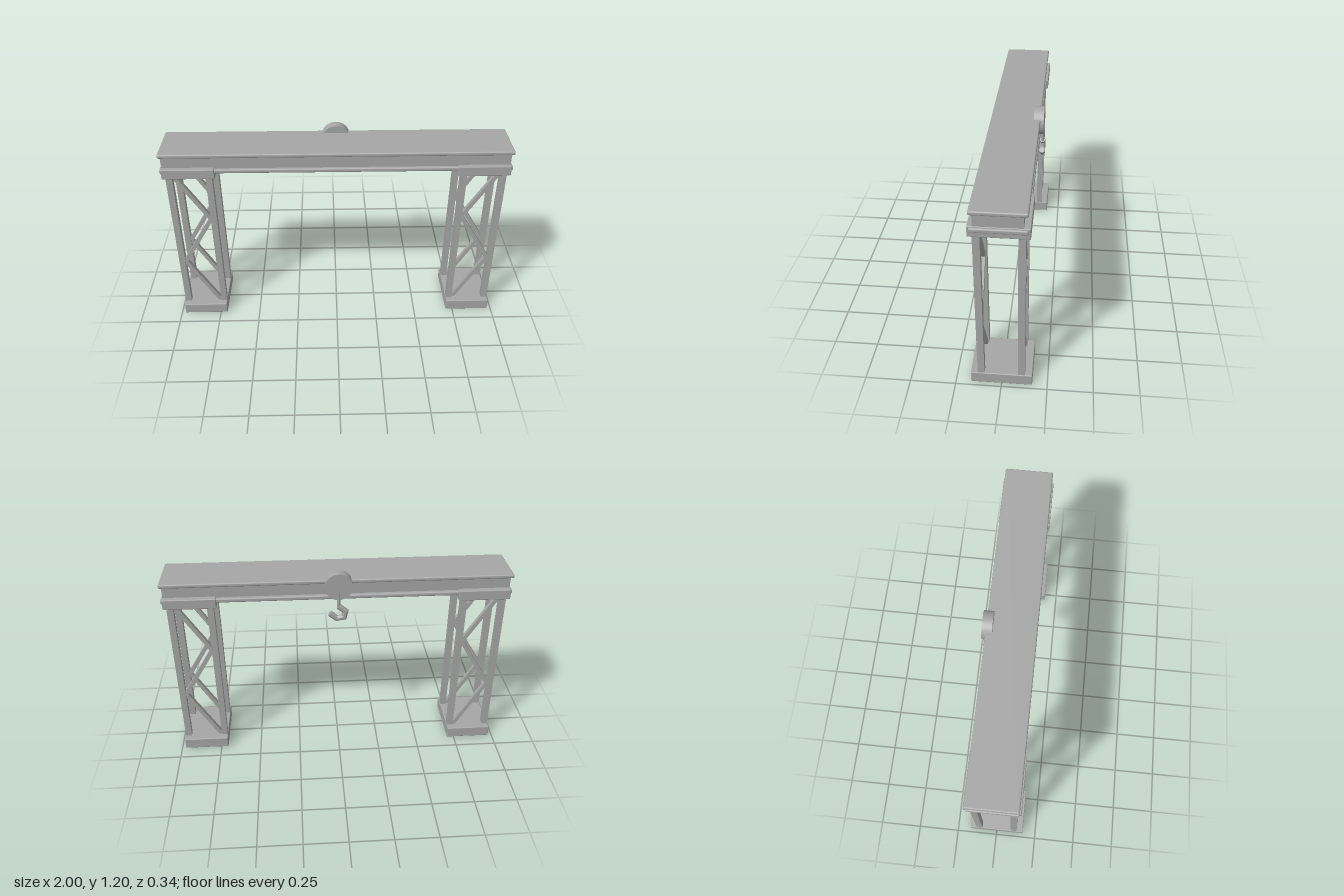
import * as THREE from 'three';
import { RoundedBoxGeometry } from 'three/addons/geometries/RoundedBoxGeometry.js';

const steel = new THREE.MeshStandardMaterial({ color: 0xa6a6a6 });
steel.name = 'steel grey';

function add(parent, name, geometry, x = 0, y = 0, z = 0) {
  const mesh = new THREE.Mesh(geometry, steel);
  mesh.name = name;
  mesh.position.set(x, y, z);
  parent.add(mesh);
  return mesh;
}

// Box with slightly eased edges
const block = (w, h, d, r = 0.005) => new RoundedBoxGeometry(w, h, d, 2, r);

// Flat strut between two points in a plane of constant z
function strut(parent, name, a, b, z, width, depth) {
  const dx = b[0] - a[0], dy = b[1] - a[1];
  const mesh = add(parent, name, new THREE.BoxGeometry(width, Math.hypot(dx, dy), depth),
    (a[0] + b[0]) / 2, (a[1] + b[1]) / 2, z);
  mesh.rotation.z = -Math.atan2(dx, dy);
}

// Mitred faceted bar swept along points in the xy plane
function sweep(points, radius, sides = 8) {
  const pts = points.map(p => new THREE.Vector2(...p));
  const rings = pts.map((p, i) => {
    const before = pts[Math.max(i - 1, 0)], after = pts[Math.min(i + 1, pts.length - 1)];
    const u = (i ? p.clone().sub(before) : after.clone().sub(p)).normalize();
    const v = (i < pts.length - 1 ? after.clone().sub(p) : u.clone()).normalize();
    const t = u.clone().add(v).normalize();
    const k = radius / t.dot(u);
    return Array.from({ length: sides }, (_, j) => {
      const a = (j + 0.5) / sides * Math.PI * 2;
      return [p.x - t.y * k * Math.cos(a), p.y + t.x * k * Math.cos(a), radius * Math.sin(a)];
    });
  });
  const pos = [];
  const tri = (a, b, c) => pos.push(...a, ...b, ...c);
  for (let i = 0; i < rings.length - 1; i++) {
    for (let j = 0; j < sides; j++) {
      const n = (j + 1) % sides, a = rings[i], b = rings[i + 1];
      tri(a[j], a[n], b[n]);
      tri(a[j], b[n], b[j]);
    }
  }
  const last = rings[rings.length - 1];
  for (let j = 1; j < sides - 1; j++) {
    tri(rings[0][0], rings[0][j + 1], rings[0][j]);
    tri(last[0], last[j], last[j + 1]);
  }
  const g = new THREE.BufferGeometry();
  g.setAttribute('position', new THREE.Float32BufferAttribute(pos, 3));
  g.computeVertexNormals();
  return g;
}

// One lattice tower; side is +1 or -1 along x
function makeTower(side) {
  const tower = new THREE.Group();
  tower.name = side > 0 ? 'leftTower' : 'rightTower';
  add(tower, 'foot', block(0.27, 0.07, 0.335), side * 0.842, 0.037, 0);
  add(tower, 'cap', block(0.3, 0.061, 0.302), side * 0.84, 1.032, 0);
  const zigzag = [[0.935, 1.01], [0.745, 0.705], [0.935, 0.39], [0.745, 0.065]];
  for (const z of [-0.109, 0.111]) {
    for (const x of [0.955, 0.728]) {
      add(tower, 'post', new THREE.BoxGeometry(0.037, 0.95, 0.037), side * x, 0.535, z);
    }
    for (let i = 0; i < 3; i++) {
      const [a, b] = [zigzag[i], zigzag[i + 1]].map(p => [side * p[0], p[1]]);
      strut(tower, 'brace', a, b, z, 0.024, 0.024);
    }
  }
  return tower;
}

export function createModel() {
  const crane = new THREE.Group();
  crane.name = 'gantryCrane';
  crane.add(makeTower(1), makeTower(-1));

  // Overhead girder
  const girder = new THREE.Group();
  girder.name = 'girder';
  add(girder, 'web', new THREE.BoxGeometry(1.974, 0.1, 0.242), 0, 1.09, 0.003);
  add(girder, 'topFlange', block(2, 0.023, 0.282, 0.008), 0, 1.141, 0.001);
  add(girder, 'bottomFlange', block(2, 0.025, 0.282, 0.008), 0, 1.044, 0.001);
  crane.add(girder);

  // Hoist drum and hook on the back of the girder
  const hoist = new THREE.Group();
  hoist.name = 'hoist';
  add(hoist, 'drum', new THREE.CylinderGeometry(0.08, 0.08, 0.058, 32), 0, 1.117, -0.131)
    .rotation.x = Math.PI / 2;
  add(hoist, 'hookRod', new THREE.CylinderGeometry(0.01, 0.01, 0.1, 8), 0, 1.03, -0.152);
  add(hoist, 'hook', sweep([[0.002, 0.993], [-0.038, 0.962], [-0.03, 0.924],
    [0.012, 0.916], [0.052, 0.95]], 0.017), 0, 0, -0.152);
  crane.add(hoist);
  return crane;
}
